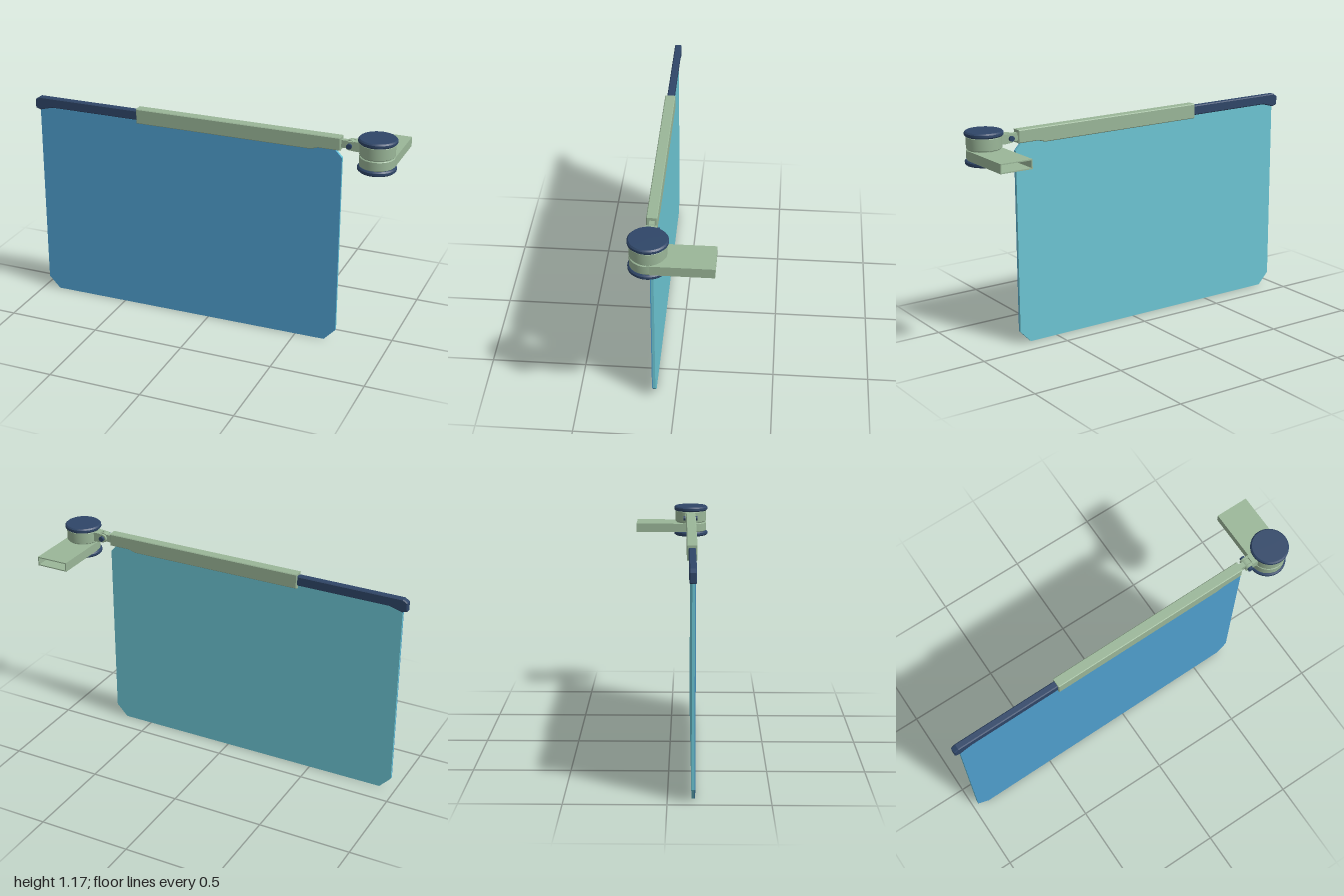
import * as THREE from 'three';
import { toCreasedNormals } from 'three/addons/utils/BufferGeometryUtils.js';

const mat = (color) => new THREE.MeshStandardMaterial({ color });
const GREEN = mat(0x9ab698), NAVY = mat(0x2f4668), BLUE = mat(0x4f9fce), CYAN = mat(0x6cc5d3);

function add(parent, name, geometry, material, x = 0, y = 0, z = 0) {
  const mesh = new THREE.Mesh(geometry, material);
  mesh.name = name;
  mesh.position.set(x, y, z);
  parent.add(mesh);
  return mesh;
}

const polygon = (points) => new THREE.Shape(points.map(([x, y]) => new THREE.Vector2(x, y)));

// Extrudes an outline along z, centred, with a bevel that stays inside the given depth
function slab(points, depth, bevel = 0) {
  const g = new THREE.ExtrudeGeometry(polygon(points), {
    depth: depth - 2 * bevel, bevelEnabled: bevel > 0, bevelThickness: bevel,
    bevelSize: bevel, bevelOffset: -bevel, bevelSegments: 1,
  });
  return g.translate(0, 0, -depth / 2 + bevel);
}

// Solid of revolution with chamfered rims, standing from y = 0 to h
function drum(r, h, c) {
  const profile = [[0, 0], [r - c, 0], [r, c], [r, h - c], [r - c, h], [0, h]];
  return toCreasedNormals(
    new THREE.LatheGeometry(profile.map(([x, y]) => new THREE.Vector2(x, y)), 48), 0.5);
}

export function createModel() {
  const model = new THREE.Group();
  model.name = 'foldingScreen';

  // Screen and its top rail swing together, turned very slightly about y
  const wing = new THREE.Group();
  wing.name = 'screenWing';
  wing.position.z = 0.1135;
  wing.rotation.y = 0.0075;
  model.add(wing);

  // Two-layer panel with clipped corners
  const outline = [[-0.91, 0], [0.66, 0], [0.722, 0.065], [0.722, 1.04], [0.68, 1.085],
    [-0.9, 1.085], [-0.972, 1.07], [-0.972, 0.065]];
  add(wing, 'panelBack', slab(outline, 0.013), CYAN, 0, 0, 0.0025);
  add(wing, 'panelFront', slab(outline, 0.005), BLUE, 0, 0, 0.0115);

  // Outer rail, stepped underneath near the hinge
  add(wing, 'rail', slab([[-0.4, 1.07], [0.56, 1.07], [0.6, 1.082], [0.715, 1.082],
    [0.715, 1.15], [-0.4, 1.15]], 0.054, 0.004), GREEN);

  // Inner sliding bar with a hooked tip
  add(wing, 'slidingBar', slab([[-1, 1.075], [-0.972, 1.065], [-0.9, 1.085], [-0.38, 1.085],
    [-0.38, 1.138], [-0.975, 1.138], [-1, 1.122]], 0.036, 0.005), NAVY);

  // Hinge between rail and pivot
  const hinge = new THREE.Group();
  hinge.name = 'hinge';
  hinge.position.set(0.762, 1.115, 0.106);
  model.add(hinge);
  const turned = (r, length) => new THREE.CylinderGeometry(r, r, length, 24).rotateX(Math.PI / 2);
  add(hinge, 'tongueRoot', new THREE.BoxGeometry(0.05, 0.04, 0.026), GREEN, -0.027);
  add(hinge, 'tongueEye', turned(0.026, 0.026), GREEN);
  for (const s of [-1, 1]) {
    add(hinge, 'forkCheek', new THREE.BoxGeometry(0.04, 0.046, 0.012), GREEN, 0.02, 0, s * 0.022);
    add(hinge, 'forkEye', turned(0.023, 0.012), GREEN, 0, 0, s * 0.022);
    add(hinge, 'pinHead', turned(0.014, 0.014), NAVY, 0, 0, s * 0.034);
  }
  add(hinge, 'forkBase', new THREE.BoxGeometry(0.06, 0.05, 0.056), GREEN, 0.05);

  // Pivot: two drums between two caps
  const pivot = new THREE.Group();
  pivot.name = 'pivot';
  pivot.position.set(0.9, 0, 0.108);
  model.add(pivot);
  add(pivot, 'lowerCap', drum(0.098, 0.026, 0.007), NAVY, 0, 0.999);
  add(pivot, 'lowerDrum', drum(0.09, 0.05, 0.003), GREEN, 0, 1.025);
  add(pivot, 'drumCore', drum(0.083, 0.13, 0.002), GREEN, 0, 1.02);
  add(pivot, 'upperDrum', drum(0.09, 0.064, 0.003), GREEN, 0, 1.08);
  add(pivot, 'upperCap', drum(0.098, 0.026, 0.007), NAVY, 0, 1.144);

  // Hollow mounting arm, open at the rear
  const rect = (w, h) => [[-w, -h], [w, -h], [w, h], [-w, h]];
  const section = polygon(rect(0.089, 0.025));
  section.holes.push(polygon(rect(0.083, 0.019)));
  add(model, 'mountingArm', new THREE.ExtrudeGeometry(section, { depth: 0.318, bevelEnabled: false }),
    GREEN, 0.9, 1.05, -0.21);

  return model;
}
